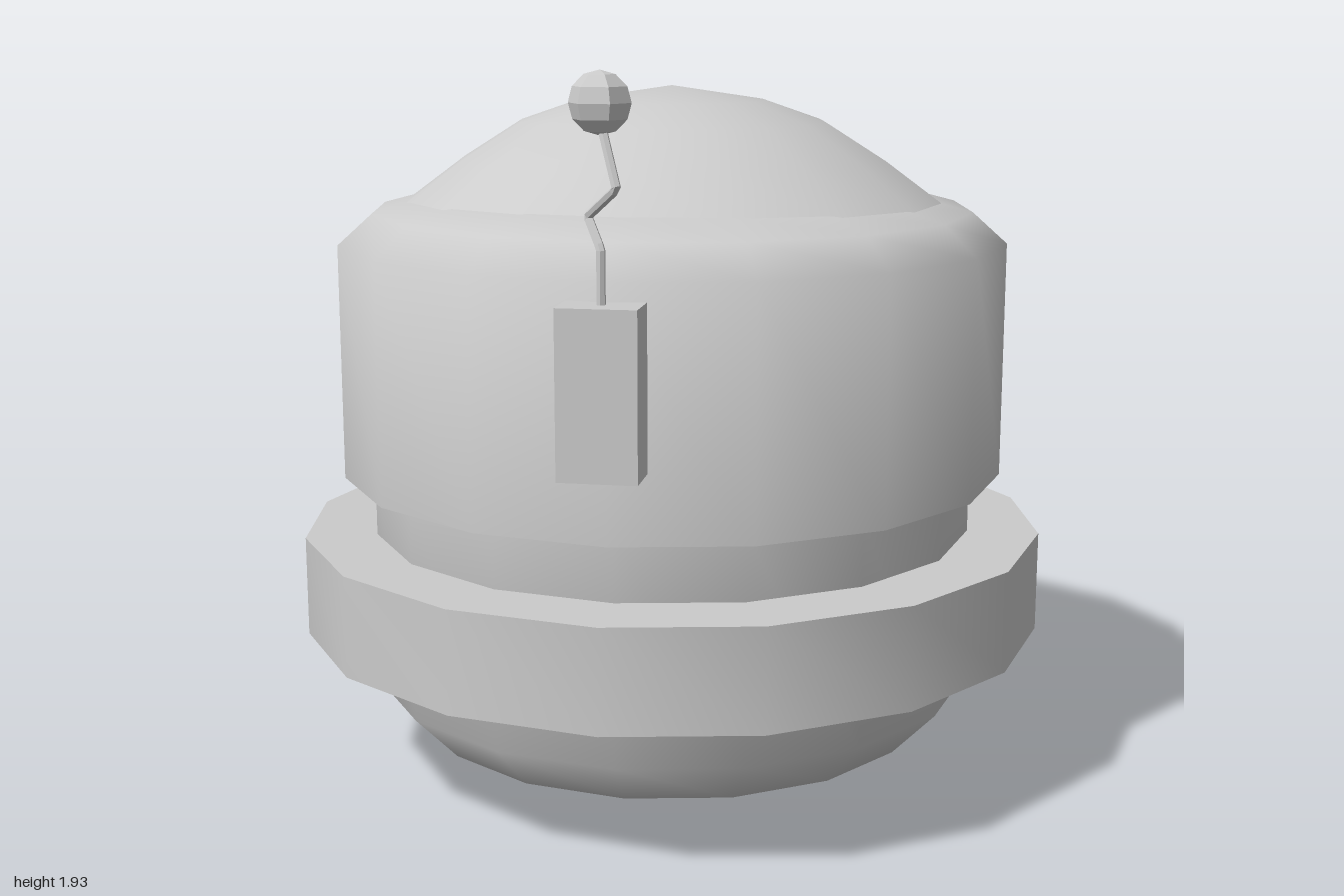
import * as THREE from 'three';
import { toCreasedNormals } from 'three/addons/utils/BufferGeometryUtils.js';

const SIDES = 16;
const grey = new THREE.MeshStandardMaterial({ color: 0xcccccc });
const greyFlat = new THREE.MeshStandardMaterial({ color: 0xcccccc, flatShading: true });

export function createModel() {
  const model = new THREE.Group();

  const add = (name, geometry, material = grey, parent = model) => {
    const mesh = new THREE.Mesh(geometry, material);
    mesh.name = name;
    parent.add(mesh);
    return mesh;
  };

  // Sixteen-sided turned part; profile of [radius, height] from bottom to top
  const turned = (name, profile) => {
    const points = profile.map(([r, y]) => new THREE.Vector2(r, y));
    return add(name, toCreasedNormals(new THREE.LatheGeometry(points, SIDES), 1));
  };

  // Rounded base and the neck that runs up inside the ring
  turned('lowerBody', [
    [0, 0], [0.44, 0.04], [0.69, 0.125], [0.81, 0.25], [0.81, 0.84],
  ]);

  // Wide ring around the base
  turned('ring', [
    [0.8, 0.405], [1, 0.405], [1, 0.67], [0.8, 0.67],
  ]);

  // Upper drum with a soft shoulder
  turned('upperBody', [
    [0.78, 0.83], [0.89, 0.83], [0.89, 1.45], [0.8, 1.53], [0.65, 1.57], [0.4, 1.6], [0, 1.61],
  ]);

  // Shallow dome, slightly narrower from front to back
  const dome = turned('dome', [
    [0.79, 1.49], [0.72, 1.55], [0.57, 1.66], [0.41, 1.76], [0.25, 1.815], [0, 1.853],
  ]);
  dome.scale.z = 0.93;

  // Antenna on the front: box, bent wire and ball
  const antenna = new THREE.Group();
  antenna.name = 'antenna';
  antenna.position.z = 0.925;
  model.add(antenna);

  const box = add('antennaBox', new THREE.BoxGeometry(0.19, 0.4, 0.12), grey, antenna);
  box.position.set(0, 1.205, 0.005);

  const bends = [
    [0, 1.38, 0], [0, 1.53, 0], [-0.037, 1.6, -0.037], [0.046, 1.67, 0.046], [0, 1.82, 0],
  ].map((p) => new THREE.Vector3(...p));
  const wire = new THREE.CurvePath();
  for (let i = 1; i < bends.length; i++) wire.add(new THREE.LineCurve3(bends[i - 1], bends[i]));
  add('antennaWire', new THREE.TubeGeometry(wire, 40, 0.011, 6), greyFlat, antenna);

  const ball = add('antennaBall', new THREE.SphereGeometry(0.072, 6, 6), greyFlat, antenna);
  ball.position.y = 1.855;

  return model;
}
